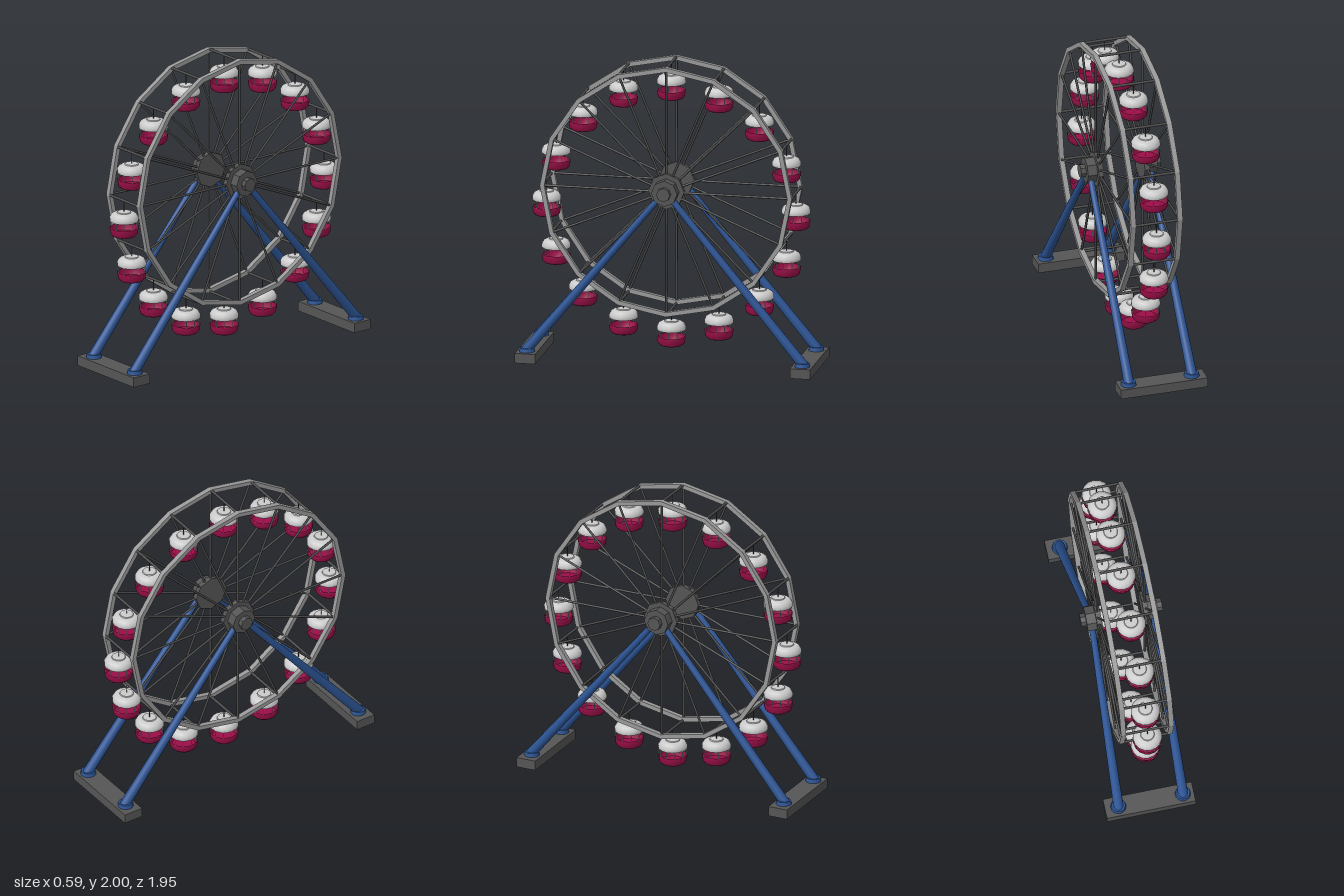
import * as THREE from 'three';

const SEATS = 16, WHEEL_Y = 1.166, HUB_Y = 1.172, RIM = 0.833, PIVOT = 0.824;
const RIM_X = 0.158, MID_X = 0.005, LEG_MID_X = 0.009;

const material = (color, options = {}) => new THREE.MeshStandardMaterial({ color, ...options });
const MAT = {
  dark: material(0x555555, { flatShading: true }),
  rod: material(0x4c4c4c),
  rim: material(0x999999, { flatShading: true }),
  blue: material(0x2c5494),
  roof: material(0xcccccc),
  red: material(0x9a0f48, { side: THREE.DoubleSide }),
};

function add(parent, name, geometry, mat, x = 0, y = 0, z = 0) {
  const mesh = new THREE.Mesh(geometry, mat);
  mesh.name = name;
  mesh.position.set(x, y, z);
  parent.add(mesh);
  return mesh;
}

// Round bar between two points, r0 at the start and r1 at the end
function bar(parent, name, a, b, r0, r1, mat, sides = 8) {
  const start = new THREE.Vector3(...a), end = new THREE.Vector3(...b);
  const dir = end.clone().sub(start);
  const mesh = add(parent, name, new THREE.CylinderGeometry(r1, r0, dir.length(), sides), mat);
  mesh.position.copy(start).add(end).multiplyScalar(0.5);
  mesh.quaternion.setFromUnitVectors(new THREE.Vector3(0, 1, 0), dir.normalize());
  return mesh;
}

const lathe = (points, sides) =>
  new THREE.LatheGeometry(points.map(([r, y]) => new THREE.Vector2(r, y)), sides);

// Gondola with its origin at the pivot on the rim
const roofShape = lathe([[0, -0.137], [0.09, -0.137], [0.09, -0.137], [0.095, -0.132], [0.095, -0.112],
  [0.083, -0.091], [0.066, -0.082], [0.046, -0.08], [0.046, -0.08], [0.043, -0.074],
  [0.043, -0.074], [0, -0.073]], 16);
const tubShape = lathe([[0, -0.247], [0.045, -0.245], [0.075, -0.236], [0.088, -0.222],
  [0.095, -0.181], [0.088, -0.18]], 16);
const floorShape = new THREE.CylinderGeometry(0.08, 0.08, 0.006, 16);
const postShape = new THREE.CylinderGeometry(0.003, 0.003, 0.05, 5);

function gondola() {
  const g = new THREE.Group();
  g.name = 'gondola';
  add(g, 'roof', roofShape, MAT.roof);
  add(g, 'tub', tubShape, MAT.red);
  add(g, 'floor', floorShape, MAT.red, 0, -0.228, 0);
  bar(g, 'hanger', [0, -0.08, 0], [0, 0, 0], 0.003, 0.003, MAT.rod, 6);
  for (let i = 0; i < 10; i++) {
    const t = (i + 0.5) * Math.PI / 5;
    add(g, 'windowPost', postShape, MAT.roof, 0.089 * Math.sin(t), -0.159, 0.089 * Math.cos(t));
  }
  return g;
}

// Hollow footing, open underneath
function footing(parent, z) {
  const g = new THREE.Group();
  g.name = 'footing';
  g.position.z = z;
  parent.add(g);
  add(g, 'footingTop', new THREE.BoxGeometry(0.586, 0.012, 0.134), MAT.dark, 0, 0.059, 0);
  for (const s of [-1, 1]) {
    add(g, 'footingLongWall', new THREE.BoxGeometry(0.586, 0.053, 0.012), MAT.dark, 0, 0.0265, s * 0.061);
    add(g, 'footingEndWall', new THREE.BoxGeometry(0.012, 0.053, 0.11), MAT.dark, s * 0.287, 0.0265, 0);
  }
}

export function createModel() {
  const model = new THREE.Group();
  model.name = 'ferrisWheel';

  const wheel = new THREE.Group();
  wheel.name = 'wheel';
  wheel.position.set(MID_X, WHEEL_Y, 0.003);
  model.add(wheel);

  // Two polygonal rims of rectangular section, with hubs outside them
  const rimShape = lathe([[RIM - 0.03, -0.017], [RIM, -0.017], [RIM, 0.017],
    [RIM - 0.03, 0.017], [RIM - 0.03, -0.017]], SEATS);
  const hub = [['hubFlange', 0.119, 0.138, 0.172], ['hubDrum', 0.086, 0.17, 0.235], ['hubCap', 0.045, 0.23, 0.269]];
  for (const s of [-1, 1]) {
    add(wheel, 'rim', rimShape, MAT.rim, s * RIM_X).rotation.z = Math.PI / 2;
    for (const [name, r, x0, x1] of hub) {
      const shape = new THREE.CylinderGeometry(r, r, x1 - x0, 8);
      add(model, name, shape, MAT.dark, MID_X + s * (x0 + x1) / 2, HUB_Y).rotation.z = Math.PI / 2;
    }
  }

  // Spokes, cross bars and upright gondolas at every corner of the rims
  for (let i = 0; i < SEATS; i++) {
    const t = i * 2 * Math.PI / SEATS;
    const at = (x, r) => [x, r * Math.cos(t), r * Math.sin(t)];
    for (const s of [-1, 1]) {
      bar(wheel, 'spoke', at(s * RIM_X, 0.08), at(s * RIM_X, RIM - 0.015), 0.008, 0.008, MAT.rod, 6);
    }
    bar(wheel, 'crossBar', at(-RIM_X, PIVOT), at(RIM_X, PIVOT), 0.009, 0.009, MAT.rod);
    const seat = gondola();
    seat.position.set(...at(0, PIVOT));
    wheel.add(seat);
  }

  // Tapered legs leaning from the footings to the hubs
  for (const end of [-1, 1]) {
    footing(model, end * 0.909);
    for (const s of [-1, 1]) {
      const x = LEG_MID_X + s * 0.213;
      bar(model, 'leg', [x, 0.06, end * 0.928], [LEG_MID_X + s * 0.203, 1.14, end * 0.035], 0.033, 0.02, MAT.blue, 16);
      add(model, 'legCollar', new THREE.CylinderGeometry(0.046, 0.051, 0.026, 16), MAT.blue, x, 0.077, end * 0.91);
    }
  }
  return model;
}
